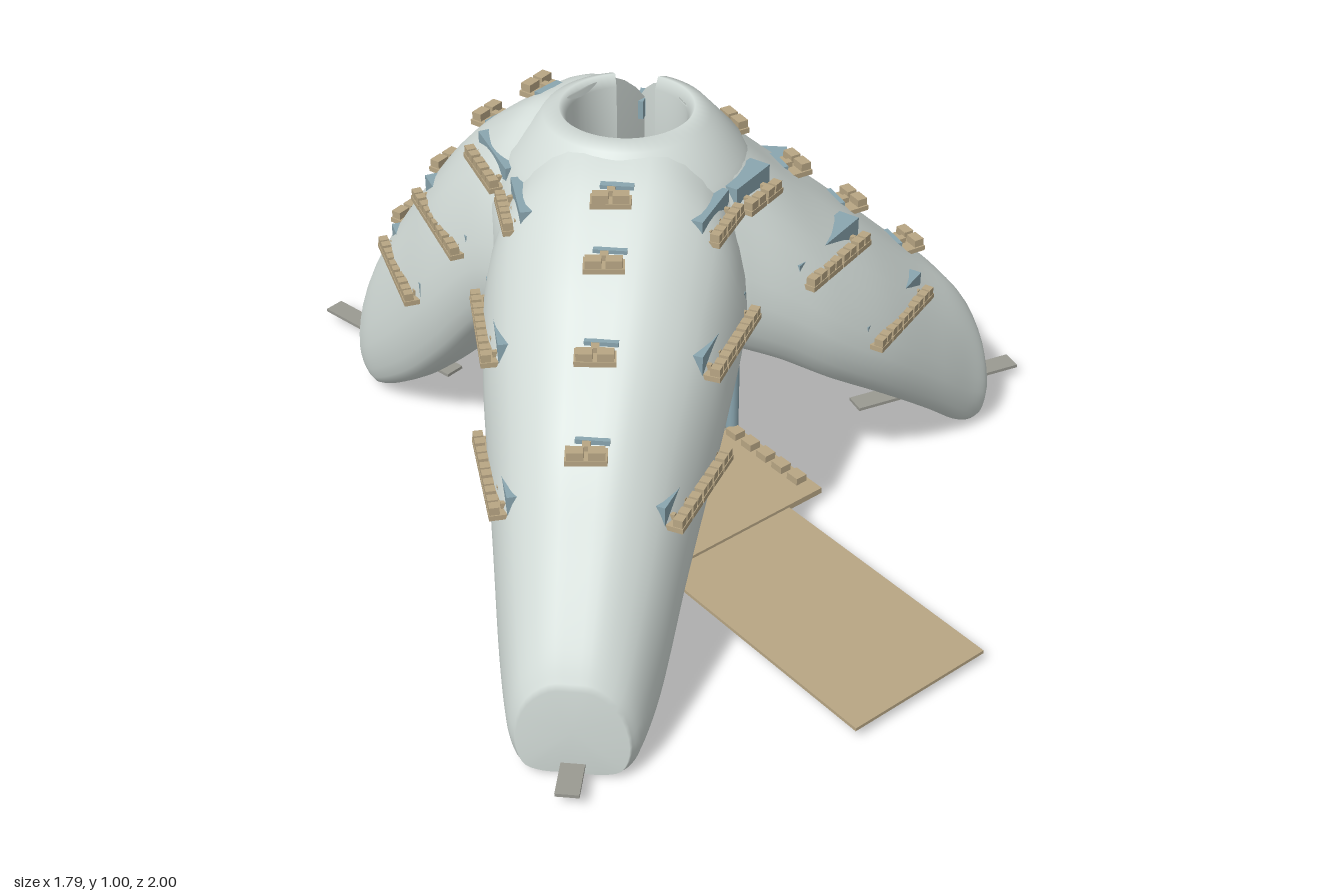
import * as THREE from 'three';

const mat = (color, side = THREE.FrontSide) => new THREE.MeshStandardMaterial({ color, side });
const shell = mat(0xd3dcd8, THREE.DoubleSide);
const tan = mat(0xb8a684);
const glass = mat(0x8aa6b0);
const paving = mat(0x9a9a92);
const CX = -0.13, CZ = 0.03; // axis of the central shaft

function box(parent, name, material, w, h, d, x, y, z) {
  const m = new THREE.Mesh(new THREE.BoxGeometry(w, h, d), material);
  m.name = name;
  m.position.set(x, y, z);
  parent.add(m);
  return m;
}

// Half of a wing's cross-section: [share of half width, share of height]
const HALF = [[0.58, 0], [0.88, 0.08], [1, 0.35], [0.84, 0.74], [0.42, 0.98]];
const outline = new THREE.CatmullRomCurve3(
  [[0, 0], ...HALF, [0, 1.01], ...HALF.map(([x, y]) => [-x, y]).reverse()]
    .map(([x, y]) => new THREE.Vector3(x, y, 0)), true).getPoints(40).slice(0, 40);

// Wings: heading in degrees, tip path [start, end], balcony distances on the ridge,
// terraces [height, start, end], stations [distance, underside, top, half width]
const WINGS = [
  { name: 'frontRightWing', heading: -45, path: [0.59, 1.06], ridge: [0.26, 0.38, 0.53, 0.68],
    terraces: [[0.455, 0.46, 0.72], [0.655, 0.23, 0.48], [0.85, 0.14, 0.28]],
    rows: [[0.13, 0.48, 0.99, 0.27], [0.25, 0.46, 0.95, 0.28], [0.4, 0.38, 0.85, 0.26], [0.52, 0.29, 0.75, 0.235],
      [0.68, 0.16, 0.61, 0.2], [0.82, 0.04, 0.44, 0.17], [0.93, 0.005, 0.3, 0.14], [0.975, 0.015, 0.23, 0.115]] },
  { name: 'leftWing', heading: 75.5, path: [0.6, 1.05], ridge: [0.22, 0.38, 0.53, 0.69],
    terraces: [[0.455, 0.44, 0.66], [0.655, 0.27, 0.48], [0.85, 0.14, 0.25]],
    rows: [[0.13, 0.48, 0.98, 0.3], [0.25, 0.42, 0.88, 0.32], [0.37, 0.34, 0.77, 0.325], [0.52, 0.24, 0.64, 0.3],
      [0.69, 0.11, 0.48, 0.24], [0.8, 0.02, 0.38, 0.195], [0.86, 0.005, 0.3, 0.17], [0.88, 0.03, 0.24, 0.15]] },
  { name: 'backWing', heading: 190, path: [0.59, 1.04], ridge: [0.23, 0.39, 0.54, 0.69],
    terraces: [[0.455, 0.41, 0.65], [0.655, 0.24, 0.5], [0.85, 0.14, 0.3]],
    rows: [[0.13, 0.48, 0.99, 0.27], [0.23, 0.44, 0.96, 0.27], [0.39, 0.26, 0.83, 0.26], [0.54, 0.12, 0.65, 0.23],
      [0.69, 0.02, 0.45, 0.19], [0.76, 0.005, 0.33, 0.155], [0.78, 0.02, 0.27, 0.14]] },
];

// Loft the outline through the stations and close both ends
function wingGeometry(rows) {
  const high = new THREE.CatmullRomCurve3(rows.map(([r, , t, w]) => new THREE.Vector3(w, t, r)), false, 'catmullrom');
  const low = new THREE.CatmullRomCurve3(rows.map(([r, b]) => new THREE.Vector3(0, b, r)), false, 'catmullrom');
  const pos = [], idx = [], N = outline.length, S = 36;
  for (let i = 0; i <= S; i++) {
    const h = high.getPoint(i / S), l = low.getPoint(i / S);
    for (const p of outline) pos.push(p.x * h.x, l.y + p.y * (h.y - l.y), h.z);
  }
  for (const i of [0, S]) {
    const h = high.getPoint(i / S), l = low.getPoint(i / S);
    pos.push(0, (h.y + l.y) / 2, h.z);
  }
  const first = (S + 1) * N;
  for (let j = 0; j < N; j++) {
    const k = (j + 1) % N;
    for (let i = 0; i < S; i++) {
      const a = i * N + j, b = i * N + k;
      idx.push(a, b, b + N, a, b + N, a + N);
    }
    idx.push(first, k, j, first + 1, S * N + j, S * N + k);
  }
  const g = new THREE.BufferGeometry();
  g.setAttribute('position', new THREE.Float32BufferAttribute(pos, 3));
  g.setIndex(idx);
  g.computeVertexNormals();
  return g;
}

// Station values at distance r
function station(rows, r) {
  let i = 0;
  while (i < rows.length - 2 && rows[i + 1][0] < r) i++;
  const t = (r - rows[i][0]) / (rows[i + 1][0] - rows[i][0]);
  return rows[i].map((v, k) => THREE.MathUtils.lerp(v, rows[i + 1][k], t));
}

// Half width of the wing at distance r and height y
function widthAt(rows, r, y) {
  const [, b, t, w] = station(rows, r);
  const f = THREE.MathUtils.clamp((y - b) / (t - b), 0.08, 0.9);
  let i = 1;
  while (i < HALF.length - 2 && HALF[i + 1][1] < f) i++;
  const [p, q] = [HALF[i], HALF[i + 1]];
  return w * THREE.MathUtils.lerp(p[0], q[0], (f - p[1]) / (q[1] - p[1]));
}

// Balcony slab with planters along its outer edge; +z is outward
function balcony(width, depth) {
  const g = new THREE.Group();
  g.name = 'balcony';
  box(g, 'balconySlab', tan, width, 0.012, depth, 0, 0, 0);
  for (const s of [-1, 1]) box(g, 'planter', tan, width * 0.4, 0.02, depth * 0.35, s * width * 0.25, 0.014, depth * 0.3);
  box(g, 'planter', tan, width * 0.2, 0.014, depth * 0.3, 0, 0.012, -depth * 0.1);
  return g;
}

function buildWing({ name, heading, path, ridge, terraces, rows }) {
  const g = new THREE.Group();
  g.name = name;
  g.position.set(CX, 0, CZ);
  g.rotation.y = THREE.MathUtils.degToRad(heading);
  const body = new THREE.Mesh(wingGeometry(rows), shell);
  body.name = 'wingBody';
  g.add(body);
  // Single balconies down the ridge
  for (const r of ridge) {
    const y = station(rows, r)[2];
    const b = balcony(0.085, 0.07);
    b.position.set(0, y - 0.005, r + 0.015);
    b.rotation.y = 0.1;
    g.add(b);
    box(g, 'ridgeWindow', glass, 0.07, 0.03, 0.05, 0.01, y, r - 0.025);
  }
  // Terraces on both flanks at three levels
  for (const s of [-1, 1]) {
    for (const [y, r0, r1] of terraces) {
      const w0 = widthAt(rows, r0, y), w1 = widthAt(rows, r1, y);
      const terrace = new THREE.Group();
      terrace.name = 'terrace';
      terrace.position.set(s * (w0 + w1) / 2, y, (r0 + r1) / 2);
      terrace.rotation.y = s * Math.PI / 2 - Math.atan2(s * (w0 - w1), r1 - r0);
      const len = Math.hypot(w1 - w0, r1 - r0), n = Math.round(len / 0.055);
      box(terrace, 'windowBand', glass, len, 0.045, 0.05, 0, 0.022, -0.022);
      for (let i = 0; i < n; i++) {
        const b = balcony(len / n * 0.92, 0.06);
        b.position.set(((i + 0.5) / n - 0.5) * len, -0.005, 0.01);
        terrace.add(b);
      }
      g.add(terrace);
    }
  }
  // Ground path running out from under the tip
  box(g, 'tipPath', paving, 0.05, 0.008, path[1] - path[0], 0, 0.036, (path[0] + path[1]) / 2);
  return g;
}

export function createModel() {
  const model = new THREE.Group();
  model.name = 'terracedBuilding';
  WINGS.forEach((w) => model.add(buildWing(w)));

  // Crown around the open shaft, cleft between the left and back wings
  const deg = THREE.MathUtils.degToRad;
  const profile = [[0.27, 0.53], [0.31, 0.66], [0.3, 0.8], [0.25, 0.91], [0.18, 0.99], [0.145, 1.005], [0.13, 0.98], [0.13, 0.53], [0.27, 0.53]];
  const crown = new THREE.Mesh(
    new THREE.LatheGeometry(profile.map(([x, y]) => new THREE.Vector2(x, y)), 48, deg(152), deg(322)), shell);
  crown.name = 'crown';
  crown.position.set(CX, 0, CZ);
  model.add(crown);

  // Entrance deck, its planters and the long ramp
  box(model, 'entranceDeck', tan, 0.57, 0.015, 0.53, -0.125, 0.036, 0.115);
  box(model, 'entranceRamp', tan, 0.37, 0.008, 0.64, -0.125, 0.032, 0.68);
  for (const x of [-0.385, 0.135]) {
    for (let i = 0; i < 9; i++) box(model, 'deckPlanter', tan, 0.03, 0.02, 0.035, x, 0.052, -0.12 + i * 0.055);
  }

  // Slender posts under the hall
  for (const [x, z] of [[-0.31, -0.085], [-0.34, 0.2], [0.145, 0.075], [-0.17, -0.23]]) {
    const post = new THREE.Mesh(new THREE.CylinderGeometry(0.016, 0.016, 0.46, 12), glass);
    post.name = 'post';
    post.position.set(x, 0.265, z);
    model.add(post);
  }
  return model;
}
